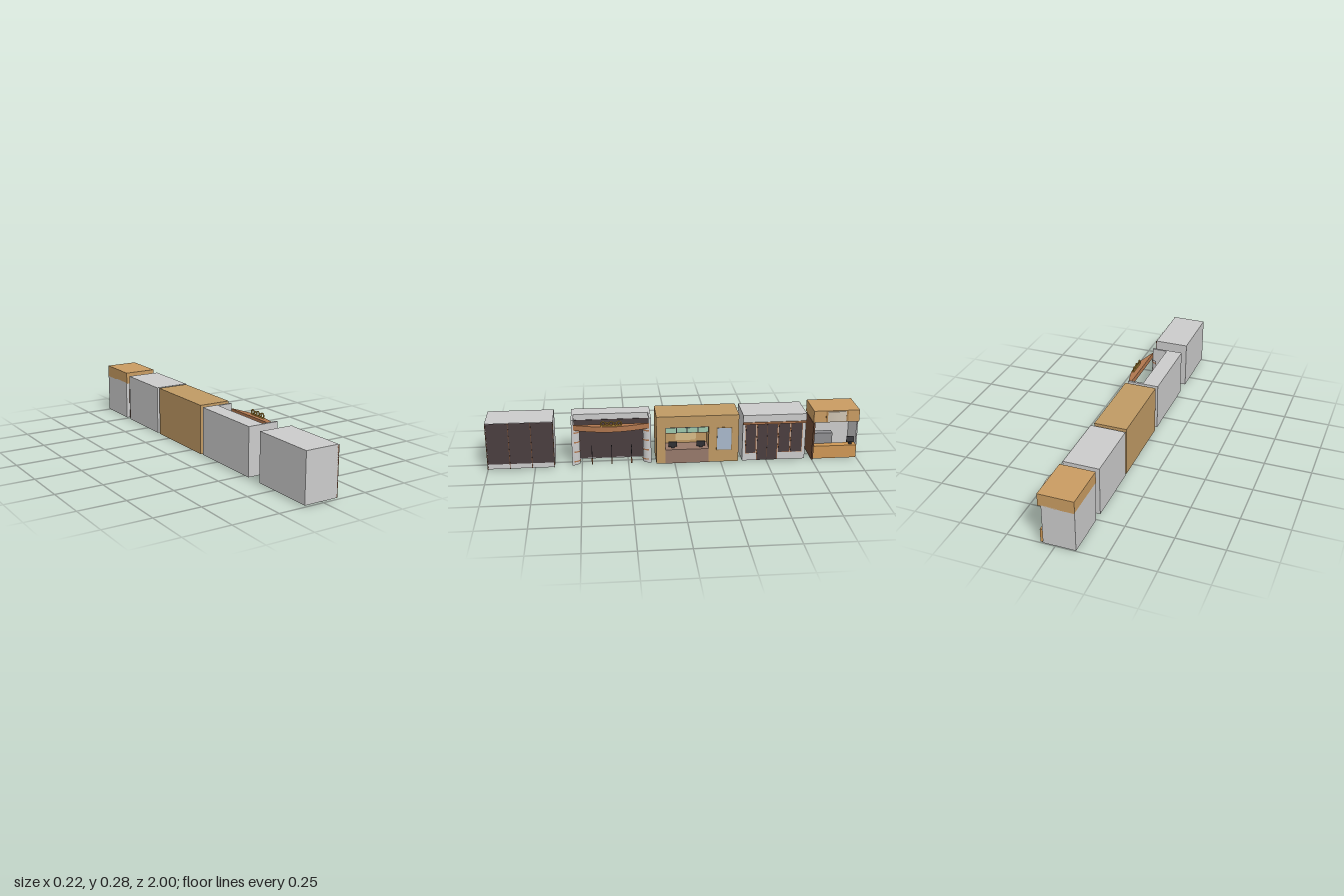
import * as THREE from 'three';

const GREY = 0xcccccc, DARK = 0x4a3d3f, COPPER = 0xb0764e, BROWN = 0x6e4a35;
const TAN = 0xc09a64, GOLD = 0xc79a3c, MAUVE = 0x98796b, BLACK = 0x2f2f33;

const mats = new Map();
function mat(color, double = false) {
  const key = color + (double ? 'd' : '');
  if (!mats.has(key)) {
    const m = new THREE.MeshStandardMaterial({ color });
    if (double) m.side = THREE.DoubleSide;
    mats.set(key, m);
  }
  return mats.get(key);
}

function add(group, name, geometry, color, double) {
  const mesh = new THREE.Mesh(geometry, mat(color, double));
  mesh.name = name;
  group.add(mesh);
  return mesh;
}

// Box given by its limits along x, y and z
function box(group, name, color, [x0, x1], [y0, y1], [z0, z1]) {
  const mesh = add(group, name, new THREE.BoxGeometry(x1 - x0, y1 - y0, Math.abs(z1 - z0)), color);
  mesh.position.set((x0 + x1) / 2, (y0 + y1) / 2, (z0 + z1) / 2);
  return mesh;
}

// Plan outline (x, z) raised from y0 by height
function planSlab(group, name, color, points, y0, height) {
  const shape = new THREE.Shape(points.map(([x, z]) => new THREE.Vector2(x, -z)));
  const g = new THREE.ExtrudeGeometry(shape, { depth: height, bevelEnabled: false });
  g.rotateX(-Math.PI / 2);
  g.translate(0, y0, 0);
  return add(group, name, g, color);
}

// Crescent outline: straight back at x0, bowed front reaching x1
function crescent(x0, x1, z0, z1, end = 0.004, n = 20) {
  const pts = [[x0, z1], [x0, z0]];
  for (let i = 0; i <= n; i++) {
    const t = i / n;
    pts.push([x0 + end + (x1 - x0 - end) * Math.sin(Math.PI * t), z0 + (z1 - z0) * t]);
  }
  return pts;
}

// Plain unit with three dark shutters
function shutterUnit() {
  const g = new THREE.Group();
  g.name = 'shutterUnit';
  box(g, 'shutterBody', GREY, [-0.108, 0.077], [0.008, 0.268], [0.645, 1]);
  for (let i = 0; i < 3; i++) {
    const z = 0.648 + i * 0.117;
    box(g, 'shutterPanel', DARK, [0.07, 0.079], [0.036, 0.266], [z, z + 0.114]);
  }
  for (let i = 0; i < 4; i++) {
    const z = 0.645 + i * 0.1172;
    box(g, 'shutterTrim', BROWN, [0.07, 0.0815], [0.008, 0.267], [z, z + 0.0034]);
  }
  return g;
}

// Entrance with bowed beam, ringed columns and small gates
function entrance() {
  const g = new THREE.Group();
  g.name = 'entrance';
  const zc = 0.3395, half = 0.212;
  box(g, 'entranceBody', GREY, [-0.108, -0.02], [0.008, 0.268], [zc - half, zc + half]);
  box(g, 'entranceBackPanel', DARK, [-0.03, -0.017], [0.014, 0.236], [zc - half + 0.012, zc + half - 0.012]);
  for (const s of [-1, 1]) {
    box(g, 'sideWall', GREY, [-0.02, 0.064], [0.008, 0.268], [zc + s * half, zc + s * (half - 0.012)]);
    // quarter columns in the corners by the side walls
    const start = s > 0 ? Math.PI / 2 : 0;
    const zCol = zc + s * (half - 0.012);
    const column = add(g, 'cornerColumn',
      new THREE.CylinderGeometry(0.031, 0.031, 0.2, 16, 1, true, start, Math.PI / 2), GREY, true);
    column.position.set(0.033, 0.11, zCol);
    for (let i = 0; i < 4; i++) {
      const ring = add(g, 'columnRing',
        new THREE.CylinderGeometry(0.0335, 0.0335, 0.007, 16, 1, true, start, Math.PI / 2), COPPER, true);
      ring.position.set(0.033, 0.03 + i * 0.055, zCol);
    }
  }
  planSlab(g, 'bowedBeam', COPPER, crescent(0.064, 0.107, zc - 0.2, zc + 0.2), 0.21, 0.03);
  // gilded ornament on the beam
  for (let i = -2; i <= 2; i++) {
    const r = i % 2 ? 0.009 : 0.012;
    const scroll = add(g, 'giltScroll', new THREE.TorusGeometry(r, 0.0035, 8, 20), GOLD);
    scroll.rotation.y = Math.PI / 2;
    scroll.position.set(0.094 - Math.abs(i) * 0.001, 0.2415 + r, zc + i * 0.021);
  }
  box(g, 'ornamentBase', GOLD, [0.088, 0.099], [0.24, 0.244], [zc - 0.055, zc + 0.055]);
  // gates: foot plate, thin post and arms
  for (const z of [zc - 0.106, zc, zc + 0.106]) {
    box(g, 'gateFoot', COPPER, [0.033, 0.068], [0.01, 0.035], [z - 0.003, z + 0.003]);
    box(g, 'gatePost', BLACK, [0.049, 0.052], [0.035, 0.105], [z - 0.0015, z + 0.0015]);
    for (const y of [0.07, 0.104])
      box(g, 'gateArm', BLACK, [0.035, 0.066], [y, y + 0.004], [z - 0.002, z + 0.002]);
  }
  return g;
}

// Ticket office with recessed counter and side window
function ticketOffice() {
  const g = new THREE.Group();
  g.name = 'ticketOffice';
  const X = [-0.02, 0.07];
  box(g, 'officeBack', TAN, [-0.105, -0.02], [0.003, 0.272], [-0.345, 0.1]);
  box(g, 'officeHeader', TAN, X, [0.21, 0.272], [-0.345, 0.1]);
  box(g, 'officeLeftWall', TAN, X, [0.003, 0.21], [0.052, 0.1]);
  box(g, 'officeRightWall', TAN, X, [0.003, 0.21], [-0.345, -0.182]);
  box(g, 'counterFront', MAUVE, [-0.02, 0.072], [0.003, 0.08], [-0.182, 0.052]);
  box(g, 'counterTop', MAUVE, [-0.02, 0.075], [0.08, 0.084], [-0.182, 0.052]);
  box(g, 'recessBoard', 0xd8bd88, [-0.02, -0.017], [0.1, 0.165], [-0.122, -0.012]);
  for (let i = 0; i < 4; i++) {
    const z = -0.18 + i * 0.058;
    box(g, 'transomFrame', BLACK, [0.062, 0.07], [0.177, 0.21], [z - 0.001, z + 0.057]);
    box(g, 'transomPane', 0x9fc9ae, [0.063, 0.072], [0.18, 0.207], [z + 0.002, z + 0.054]);
  }
  for (const z of [0.01, -0.142]) {
    box(g, 'counterScreen', BLACK, [0.04, 0.047], [0.09, 0.117], [z - 0.023, z + 0.023]);
    box(g, 'screenStand', BLACK, [0.035, 0.052], [0.084, 0.092], [z - 0.01, z + 0.01]);
  }
  box(g, 'windowFrame', 0x9a7748, [0.06, 0.0715], [0.07, 0.203], [-0.309, -0.224]);
  box(g, 'windowPane', 0xa9b9cc, [0.06, 0.073], [0.074, 0.199], [-0.305, -0.228]);
  return g;
}

// Shop front with dark glazing and a door
function shopFront() {
  const g = new THREE.Group();
  g.name = 'shopFront';
  box(g, 'shopBody', GREY, [-0.107, 0.072], [0.005, 0.27], [-0.71, -0.366]);
  box(g, 'shopFascia', GREY, [0.072, 0.081], [0.23, 0.27], [-0.71, -0.366]);
  box(g, 'copperTrim', COPPER, [0.07, 0.087], [0.219, 0.23], [-0.71, -0.366]);
  const panes = [[-0.437, -0.384, 0.05], [-0.555, -0.446, 0.007], [-0.622, -0.563, 0.05], [-0.69, -0.63, 0.05]];
  for (const [z0, z1, y0] of panes) {
    box(g, 'paneFrame', COPPER, [0.068, 0.074], [Math.max(y0 - 0.003, 0.006), 0.219], [z0 - 0.003, z1 + 0.003]);
    box(g, 'darkPane', DARK, [0.068, 0.076], [y0, 0.216], [z0, z1]);
  }
  box(g, 'doorSplit', BROWN, [0.07, 0.077], [0.007, 0.216], [-0.5015, -0.4995]);
  return g;
}

// Open kiosk with counter, roof band and flared side board
function kiosk() {
  const g = new THREE.Group();
  g.name = 'kiosk';
  const z0 = -1, z1 = -0.757;
  box(g, 'kioskFloor', GREY, [-0.105, 0.065], [0.003, 0.01], [z0, z1]);
  box(g, 'kioskBackWall', GREY, [-0.105, -0.095], [0.003, 0.22], [z0, z1]);
  box(g, 'kioskEndWall', GREY, [-0.105, 0.062], [0.003, 0.22], [z0, z0 + 0.007]);
  box(g, 'kioskInnerWall', GREY, [-0.105, 0.062], [0.003, 0.22], [z1 - 0.007, z1]);
  box(g, 'roofBand', 0xc99c62, [-0.105, 0.079], [0.215, 0.281], [z0, -0.75]);
  box(g, 'counter', 0xcf9855, [0.035, 0.077], [0.003, 0.076], [z0 + 0.005, z1]);
  // flared side board
  const s = new THREE.Shape([[-0.086, 0], [0.084, 0], [0.096, 0.215], [-0.086, 0.215]]
    .map(([x, y]) => new THREE.Vector2(x, y)));
  const board = add(g, 'sideBoard', new THREE.ExtrudeGeometry(s, { depth: 0.009, bevelEnabled: false }), BROWN);
  board.position.z = -0.756;
  // bowed sign plate with side mounts
  planSlab(g, 'signPlate', 0xcfc4b2, crescent(0.075, 0.087, -0.928, -0.826, 0.006), 0.219, 0.058);
  for (const z of [-0.938, -0.826])
    box(g, 'signMount', 0xa87d48, [0.07, 0.082], [0.217, 0.278], [z, z + 0.01]);
  box(g, 'counterCabinet', 0x8f8f92, [0.0, 0.04], [0.076, 0.137], [-0.868, -0.768]);
  const screen = box(g, 'kioskScreen', BLACK, [0.05, 0.056], [0.085, 0.118], [-0.984, -0.945]);
  screen.rotation.z = 0.15;
  box(g, 'kioskScreenStand', BLACK, [0.044, 0.062], [0.076, 0.088], [-0.973, -0.957]);
  return g;
}

export function createModel() {
  const model = new THREE.Group();
  model.name = 'shopRow';
  model.add(shutterUnit(), entrance(), ticketOffice(), shopFront(), kiosk());
  model.position.y = 0;
  return model;
}
